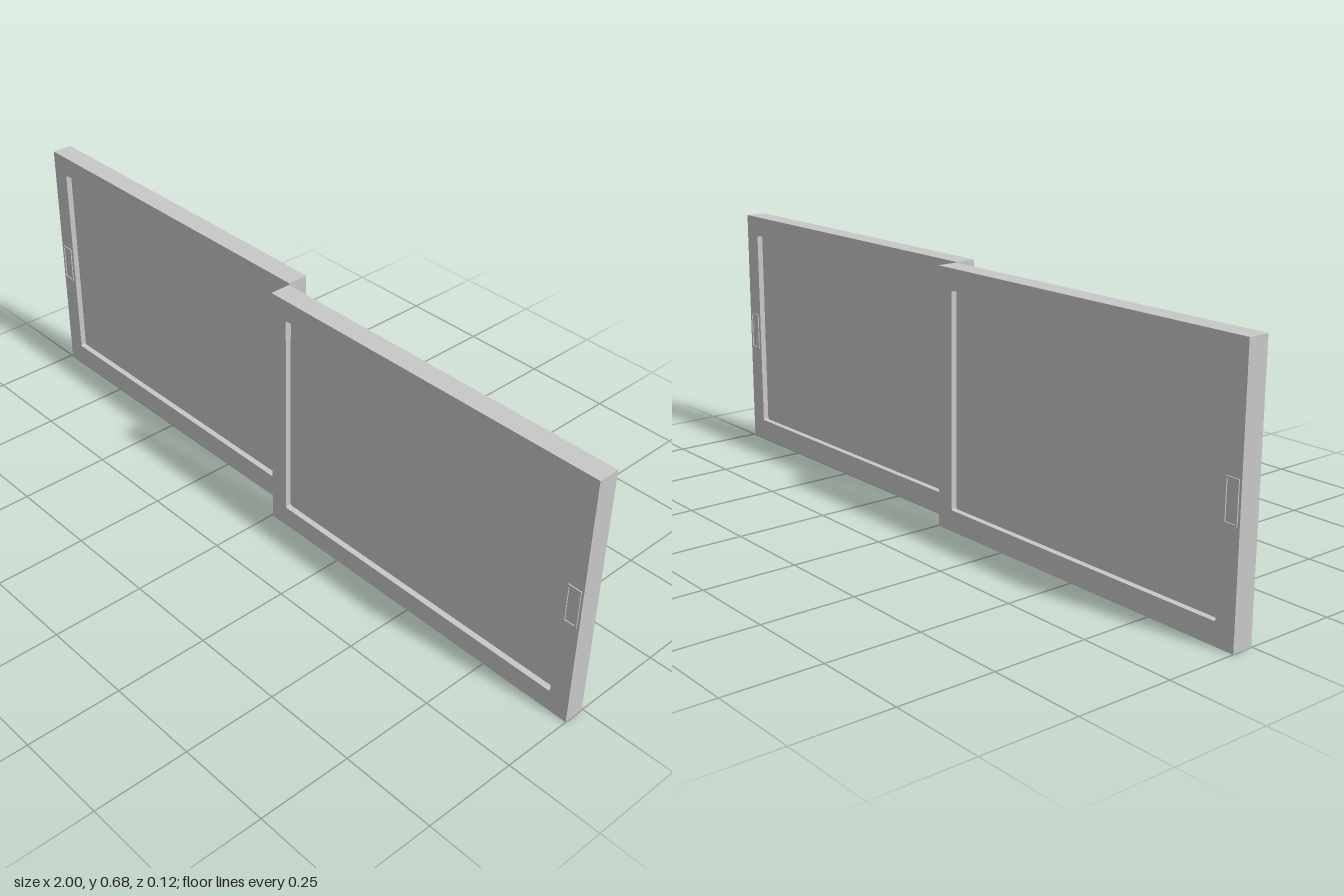
import * as THREE from 'three';

const HEIGHT = 0.682, DEPTH = 0.0565, WIDTH = 0.997;

// Rectangular path with slightly rounded corners
function rect(PathType, x0, y0, x1, y1, r) {
  const p = new PathType();
  p.moveTo(x0 + r, y0);
  p.lineTo(x1 - r, y0);
  p.quadraticCurveTo(x1, y0, x1, y0 + r);
  p.lineTo(x1, y1 - r);
  p.quadraticCurveTo(x1, y1, x1 - r, y1);
  p.lineTo(x0 + r, y1);
  p.quadraticCurveTo(x0, y1, x0, y1 - r);
  p.lineTo(x0, y0 + r);
  p.quadraticCurveTo(x0, y0, x0 + r, y0);
  return p;
}

// Flat ring between two rectangles, centred in z
function ring(outer, hole, rOuter, rHole, depth) {
  const shape = rect(THREE.Shape, ...outer, rOuter);
  shape.holes.push(rect(THREE.Path, ...hole, rHole));
  const geo = new THREE.ExtrudeGeometry(shape, { depth, bevelEnabled: false, curveSegments: 3 });
  return geo.translate(0, 0, -depth / 2);
}

function add(parent, name, geo, material) {
  const mesh = new THREE.Mesh(geo, material);
  mesh.name = name;
  parent.add(mesh);
  return mesh;
}

// One sash, spanning x 0.003 to 1 in front of the centre plane
function makeSash(name, grey) {
  const sash = new THREE.Group();
  sash.name = name;

  // Surrounding frame
  add(sash, 'frame', ring([1 - WIDTH, 0, 1, HEIGHT], [0.055, 0.057, 0.947, 0.627], 0.0005, 0.005, DEPTH), grey);

  // Pane set back from both faces
  const pane = add(sash, 'pane', new THREE.BoxGeometry(0.902, 0.58, 0.024), grey);
  pane.position.set(0.501, 0.342, 0);

  // Finger pull with a raised rim on each face
  for (const side of [1, -1]) {
    const rim = add(sash, 'pullRim', ring([0.956, 0.28, 0.994, 0.385], [0.961, 0.285, 0.989, 0.38], 0.002, 0.002, 0.0035), grey);
    rim.position.z = side * (DEPTH / 2 + 0.0012);
  }

  sash.position.z = 0.003 + DEPTH / 2;
  return sash;
}

export function createModel() {
  const model = new THREE.Group();
  model.name = 'slidingWindow';
  const grey = new THREE.MeshStandardMaterial({ color: 0xc8c8c8 });
  grey.name = 'lightGrey';

  // The rear sash is the front one turned half way round
  const rear = new THREE.Group();
  rear.name = 'rearHalf';
  rear.rotation.y = Math.PI;
  rear.add(makeSash('rearSash', grey));
  model.add(makeSash('frontSash', grey), rear);
  return model;
}
